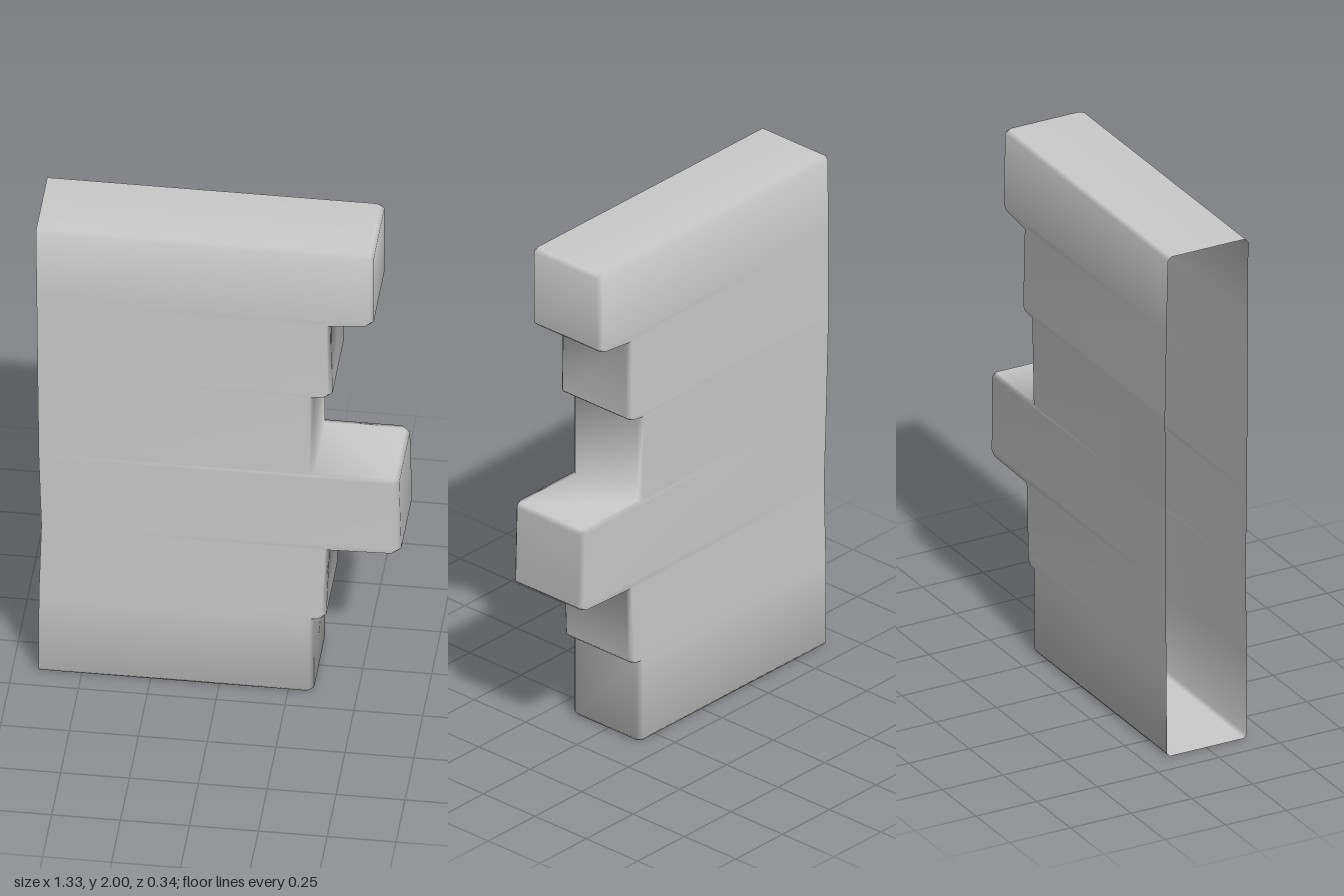
import * as THREE from 'three';

// Stepped right-hand edge, bottom to top: [height, right end]
const steps = [
  [0, 0.33], [0.015, 0.343], [0.335, 0.343],
  [0.34, 0.375], [0.355, 0.388], [0.655, 0.4],
  [0.662, 0.64], [0.68, 0.66], [0.975, 0.652], [0.99, 0.637],
  [0.99, 0.343], [1.34, 0.343],
  [1.347, 0.395], [1.36, 0.41], [1.67, 0.405],
  [1.685, 0.545], [1.7, 0.56], [1.985, 0.56], [2, 0.547],
];
const BEVEL = 0.015;

// Slightly wavy open left rim and gently swollen back
const rimX = (y) => -0.655 - 0.01 * Math.max(0, y - 1) + 0.01 * Math.exp(-(((y - 0.65) / 0.2) ** 2));
const backZ = (y) => -0.162 - 0.009 * Math.exp(-(((y - 1.4) / 0.35) ** 2));

// Open C-shaped cross-section: left rim, round the right end, back to the rim
function section(y, right) {
  const inset = y < 0.001 || y > 1.999 ? 0.012 : 0;
  const back = backZ(y) + inset;
  const front = 0.168 - inset;
  const left = rimX(y);
  return [
    [left, back], [right - BEVEL, back], [right, back + BEVEL],
    [right, front - BEVEL], [right - BEVEL, front], [left, front],
  ];
}

function panelGeometry() {
  const positions = [];
  const indices = [];
  const n = 6;
  for (const [y, right] of steps) {
    for (const [x, z] of section(y, right)) positions.push(x, y, z);
  }
  // Walls between neighbouring sections
  for (let i = 0; i < steps.length - 1; i++) {
    for (let j = 0; j < n - 1; j++) {
      const a = i * n + j, b = a + 1, c = a + n, d = b + n;
      indices.push(a, c, b, b, c, d);
    }
  }
  // Bottom and top
  const last = (steps.length - 1) * n;
  for (const [a, b, c, d] of [[0, 1, 4, 5], [1, 2, 3, 4]]) {
    indices.push(a, b, c, a, c, d);
    indices.push(last + a, last + c, last + b, last + a, last + d, last + c);
  }
  const geometry = new THREE.BufferGeometry();
  geometry.setAttribute('position', new THREE.Float32BufferAttribute(positions, 3));
  geometry.setIndex(indices);
  geometry.computeVertexNormals();

  // Soften the shading towards the top and bottom edges
  const normal = geometry.attributes.normal;
  const v = new THREE.Vector3();
  for (let i = 0; i < normal.count; i++) {
    const y = positions[i * 3 + 1];
    v.fromBufferAttribute(normal, i);
    if (y > 1.95) v.y += 0.25;
    if (y < 0.05) v.y -= 0.25;
    v.normalize();
    normal.setXYZ(i, v.x, v.y, v.z);
  }
  return geometry;
}

export function createModel() {
  const group = new THREE.Group();
  group.name = 'steppedPanel';
  const material = new THREE.MeshStandardMaterial({ color: 0xcccccc, side: THREE.DoubleSide });
  const shell = new THREE.Mesh(panelGeometry(), material);
  shell.name = 'hollowPanelShell';
  group.add(shell);
  return group;
}
